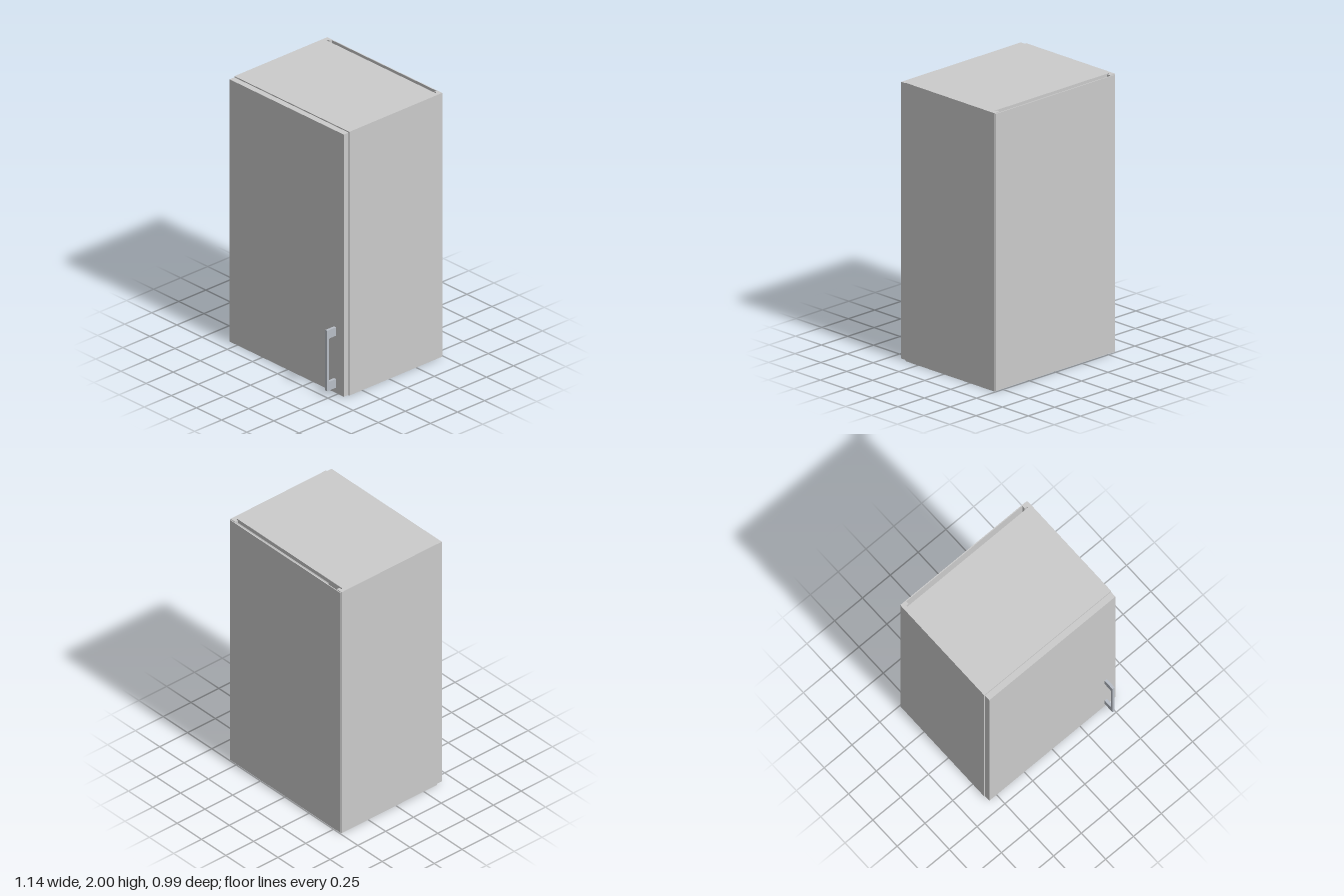
import * as THREE from 'three';

const grey = new THREE.MeshStandardMaterial({ color: 0xcccccc });
const metal = new THREE.MeshStandardMaterial({ color: 0xb8bec6 });

// Box given by its lower and upper bounds on each axis
function panel(name, [x0, x1], [y0, y1], [z0, z1]) {
  const mesh = new THREE.Mesh(new THREE.BoxGeometry(x1 - x0, y1 - y0, z1 - z0), grey);
  mesh.position.set((x0 + x1) / 2, (y0 + y1) / 2, (z0 + z1) / 2);
  mesh.name = name;
  return mesh;
}

// Bracket-shaped pull: profile drawn in (z, y), extruded across x
function createHandle() {
  const back = 0.415, front = 0.497, inner = 0.481, r = 0.012;
  const bottom = 0.047, top = 0.505, low = 0.113, high = 0.441;
  const s = new THREE.Shape();
  s.moveTo(back, bottom);
  s.lineTo(front, bottom);
  s.lineTo(front, top);
  s.lineTo(back, top);
  s.lineTo(back, high);
  s.lineTo(inner - r, high);
  s.quadraticCurveTo(inner, high, inner, high - r);
  s.lineTo(inner, low + r);
  s.quadraticCurveTo(inner, low, inner - r, low);
  s.lineTo(back, low);
  s.closePath();
  const width = 0.02;
  const geometry = new THREE.ExtrudeGeometry(s, { depth: width, bevelEnabled: false, curveSegments: 6 });
  geometry.translate(0, 0, -width / 2);
  geometry.rotateY(-Math.PI / 2);
  // The profile's z now runs along +z after the turn
  const mesh = new THREE.Mesh(geometry, metal);
  mesh.position.x = 0.48;
  mesh.name = 'handle';
  return mesh;
}

export function createModel() {
  const group = new THREE.Group();
  group.name = 'wallCabinet';

  // Side panels with a rear strip that holds the back panel
  for (const [side, sign] of [['left', 1], ['right', -1]]) {
    const span = (a, b) => (sign > 0 ? [a, b] : [-b, -a]);
    group.add(panel(side + 'Side', span(0.541, 0.571), [0, 2], [-0.49, 0.368]));
    group.add(panel(side + 'RearStrip', span(0.522, 0.541), [0, 2], [-0.49, -0.465]));
  }

  // Top and bottom stop short of the back, leaving a fixing gap
  group.add(panel('top', [-0.541, 0.541], [1.97, 2], [-0.455, 0.368]));
  group.add(panel('bottom', [-0.541, 0.541], [0, 0.03], [-0.455, 0.368]));

  group.add(panel('backPanel', [-0.566, 0.566], [0.005, 1.995], [-0.497, -0.49]));

  // Door, slightly smaller than the carcass
  group.add(panel('door', [-0.567, 0.567], [0.006, 1.994], [0.371, 0.416]));
  group.add(createHandle());
  return group;
}
